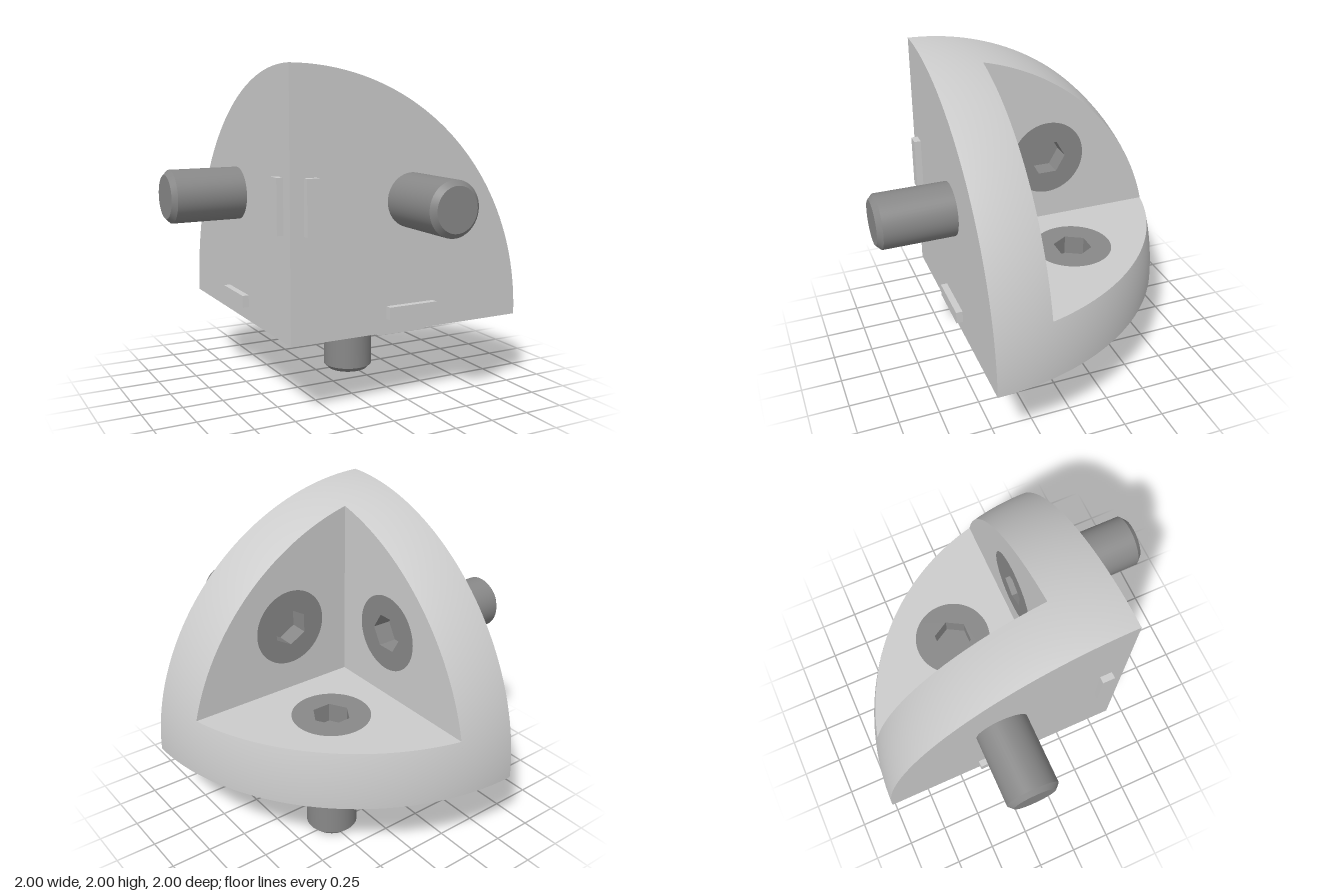
import * as THREE from 'three';
import { toCreasedNormals } from 'three/addons/utils/BufferGeometryUtils.js';

const R = 1.545;      // radius of the rounded corner
const T = 0.355;      // plate thickness
const C = 0.7725;     // bolt position along both plate edges
const HEAD = 0.24, HEX = 0.118, SOCKET = 0.12;

// Rounded rim of one plate: a band of the sphere between depth 0 and T.
function rimGeometry(rows = 10, cols = 64) {
  const pos = [], nor = [], idx = [];
  for (let i = 0; i <= rows; i++) {
    const w = (T * i) / rows;
    const r = Math.sqrt(R * R - w * w);
    const start = Math.asin(T / r);
    for (let j = 0; j <= cols; j++) {
      const a = start + ((Math.PI / 2 - start) * j) / cols;
      const p = [r * Math.cos(a), r * Math.sin(a), -w];
      pos.push(...p);
      nor.push(...p.map((k) => k / R));
      if (i < rows && j < cols) {
        const n = i * (cols + 1) + j, m = n + cols + 1;
        idx.push(n, m, m + 1, n, m + 1, n + 1);
      }
    }
  }
  const g = new THREE.BufferGeometry();
  g.setAttribute('position', new THREE.Float32BufferAttribute(pos, 3));
  g.setAttribute('normal', new THREE.Float32BufferAttribute(nor, 3));
  g.setIndex(idx);
  return g;
}

// Quarter disc forming the flat outer face.
function outerFaceGeometry() {
  const s = new THREE.Shape();
  s.moveTo(0, 0);
  s.lineTo(R, 0);
  s.absarc(0, 0, R, 0, Math.PI / 2, false);
  return new THREE.ShapeGeometry(s, 64);
}

// Inner pocket face with a round opening for the bolt head.
function pocketFaceGeometry() {
  const r = Math.sqrt(R * R - T * T);
  const a = Math.asin(T / r);
  const s = new THREE.Shape();
  s.moveTo(T, T);
  s.lineTo(r * Math.cos(a), T);
  s.absarc(0, 0, r, a, Math.PI / 2 - a, false);
  s.closePath();
  s.holes.push(new THREE.Path().absarc(C, C, HEAD, 0, Math.PI * 2, true));
  return new THREE.ShapeGeometry(s, 64);
}

// Flush bolt head with a hexagonal socket.
function headGeometry() {
  const s = new THREE.Shape().absarc(0, 0, HEAD, 0, Math.PI * 2, false);
  const hex = [];
  for (let i = 0; i < 6; i++) {
    const a = (-i * Math.PI) / 3;
    hex.push(new THREE.Vector2(HEX * Math.cos(a), HEX * Math.sin(a)));
  }
  s.holes.push(new THREE.Path(hex));
  return new THREE.ExtrudeGeometry(s, { depth: SOCKET, bevelEnabled: false, curveSegments: 64 })
    .translate(0, 0, -SOCKET);
}

// Chamfered bolt shank pointing along +z.
function shankGeometry() {
  const profile = [[0.16, -0.02], [0.16, 0.425], [0.13, 0.455], [0, 0.455]]
    .map(([x, y]) => new THREE.Vector2(x, y));
  return toCreasedNormals(new THREE.LatheGeometry(profile, 48).rotateX(Math.PI / 2), 0.5);
}

export function createModel() {
  const body = new THREE.MeshStandardMaterial({ color: 0xcccccc });
  body.name = 'light grey body';
  const metal = new THREE.MeshStandardMaterial({ color: 0x888888 });
  metal.name = 'dark grey bolt';

  const add = (parent, name, geometry, material, x = 0, y = 0, z = 0) => {
    const m = new THREE.Mesh(geometry, material);
    m.name = name;
    m.position.set(x, y, z);
    parent.add(m);
  };

  const geo = {
    rim: rimGeometry(),
    outer: outerFaceGeometry(),
    pocket: pocketFaceGeometry(),
    head: headGeometry(),
    floor: new THREE.CircleGeometry(HEX, 6),
    shank: shankGeometry(),
    tabTall: new THREE.BoxGeometry(0.075, 0.32, 0.04),
    tabWide: new THREE.BoxGeometry(0.32, 0.075, 0.04),
  };

  const model = new THREE.Group();
  model.name = 'cornerConnector';
  const axis = new THREE.Vector3(1, 1, -1).normalize();

  // Three identical plates turned about the corner diagonal.
  ['front', 'bottom', 'side'].forEach((label, i) => {
    const plate = new THREE.Group();
    plate.name = label + 'Plate';
    plate.position.set(-0.545, 0.455, 0.545);
    plate.quaternion.setFromAxisAngle(axis, (i * Math.PI * 2) / 3);
    add(plate, 'roundedRim', geo.rim, body);
    add(plate, 'outerFace', geo.outer, body);
    add(plate, 'boltShank', geo.shank, metal, C, C, 0);
    add(plate, 'locatingTab', geo.tabTall, body, 0.1225, C, 0.02);
    add(plate, 'locatingTab', geo.tabWide, body, C, 0.1225, 0.02);

    // Inner side, flipped to face into the pocket.
    const inner = new THREE.Group();
    inner.name = 'pocketSide';
    inner.quaternion.setFromAxisAngle(new THREE.Vector3(1, 1, 0).normalize(), Math.PI);
    add(inner, 'pocketFace', geo.pocket, body, 0, 0, T);
    add(inner, 'boltHead', geo.head, metal, C, C, T);
    add(inner, 'socketFloor', geo.floor, metal, C, C, T - SOCKET);
    plate.add(inner);
    model.add(plate);
  });
  return model;
}
